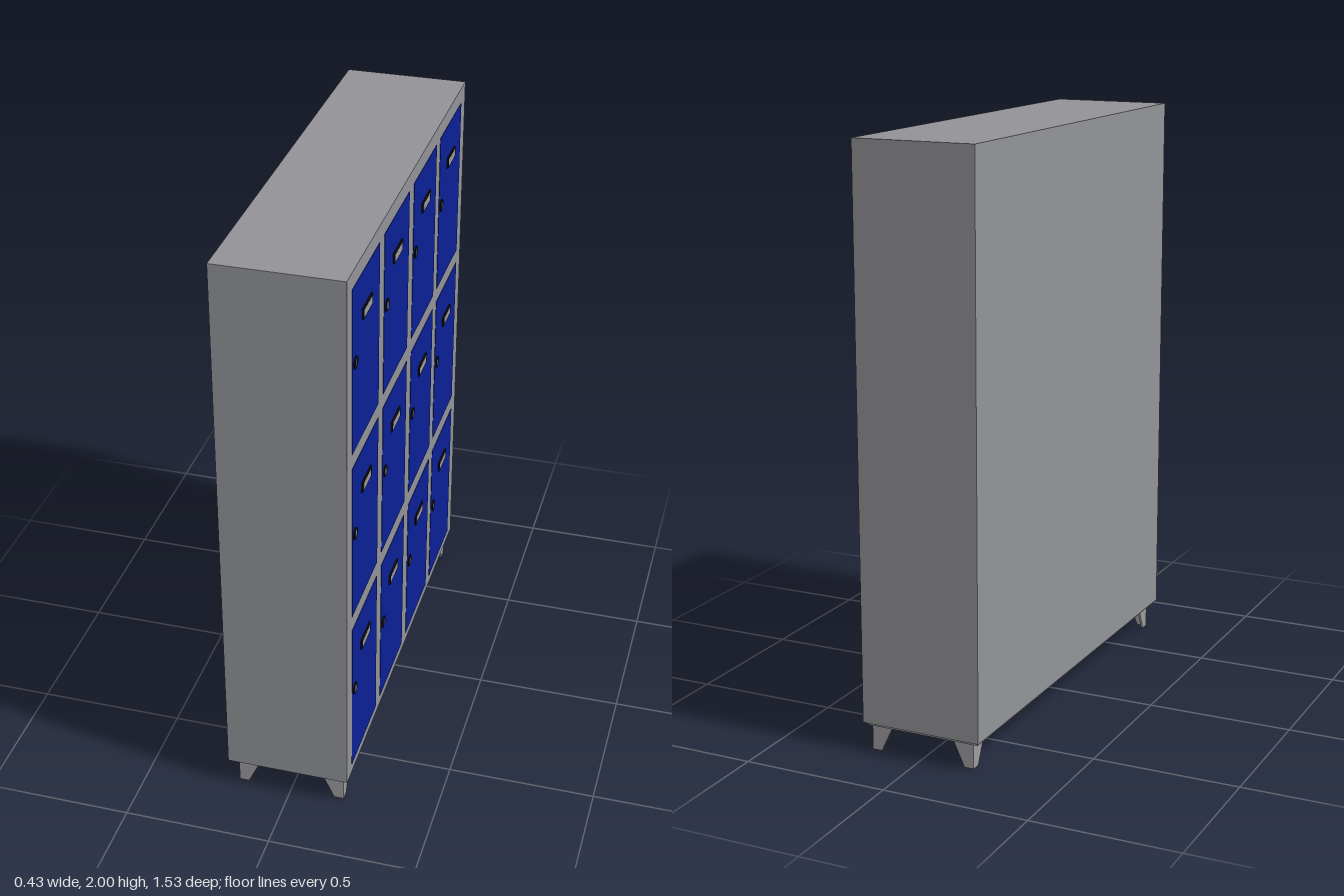
import * as THREE from 'three';

const material = (name, color) => {
  const m = new THREE.MeshStandardMaterial({ color });
  m.name = name;
  return m;
};

export function createModel() {
  const steel = material('grey steel', 0x929397);
  const blue = material('blue door paint', 0x0b2095);
  const black = material('black trim', 0x0c0c0c);
  const silver = material('light grey metal', 0x9c9a9e);

  const root = new THREE.Group();
  root.name = 'lockerCabinet';

  const add = (parent, name, geometry, mat, x, y, z) => {
    const mesh = new THREE.Mesh(geometry, mat);
    mesh.name = name;
    mesh.position.set(x, y, z);
    parent.add(mesh);
    return mesh;
  };
  const box = (parent, name, mat, size, pos) =>
    add(parent, name, new THREE.BoxGeometry(...size), mat, ...pos);

  // Cabinet shell and the recessed base under it
  const faceX = 0.205;
  box(root, 'cabinetBody', steel, [0.42, 1.9, 1.53], [-0.005, 1.05, 0]);
  box(root, 'basePlate', steel, [0.4, 0.012, 1.5], [-0.005, 0.094, 0]);

  // Three rows of four doors, each with a label holder and a round lock
  const doorH = 0.567, doorW = 0.309;
  const ringShape = new THREE.Shape().absarc(0, 0, 0.021, 0, Math.PI * 2);
  const lockGeo = new THREE.ExtrudeGeometry(ringShape, { depth: 0.004, bevelEnabled: false, curveSegments: 12 });
  lockGeo.rotateY(Math.PI / 2);

  for (const y of [0.418, 1.042, 1.662]) {
    for (const z of [0.553, 0.185, -0.185, -0.548]) {
      const door = new THREE.Group();
      door.name = 'door';
      door.position.set(faceX, y, z);
      root.add(door);
      box(door, 'doorPanel', blue, [0.003, doorH, doorW], [0, 0, 0]);
      box(door, 'labelFrame', black, [0.007, 0.037, 0.107], [0.0035, 0.148, -0.002]);
      box(door, 'labelPlate', silver, [0.002, 0.026, 0.088], [0.0068, 0.148, 0]);
      add(door, 'lock', lockGeo, black, 0.001, 0.024, 0.124);
      box(door, 'keySlot', silver, [0.001, 0.024, 0.01], [0.0053, 0.024, 0.124]);
    }
  }

  // Tapered angle-iron legs: two plates meeting at the outer corner
  const taper = new THREE.Shape([
    [0, 0], [0.033, 0], [0.075, 0.09], [0, 0.09],
  ].map(([a, b]) => new THREE.Vector2(a, b)));
  const plateAcross = new THREE.ExtrudeGeometry(taper, { depth: 0.008, bevelEnabled: false });
  const plateAlong = plateAcross.clone().rotateY(-Math.PI / 2).translate(0.008, 0, 0);

  for (const sx of [-1, 1]) {
    for (const sz of [-1, 1]) {
      const leg = new THREE.Group();
      leg.name = 'leg';
      leg.position.set(sx * 0.185, 0, sz * 0.738);
      // The plates run inward from the corner
      leg.scale.set(-sx, 1, -sz);
      add(leg, 'legPlateAcross', plateAcross, silver, 0, 0, 0);
      add(leg, 'legPlateAlong', plateAlong, silver, 0, 0, 0);
      root.add(leg);
    }
  }

  return root;
}
